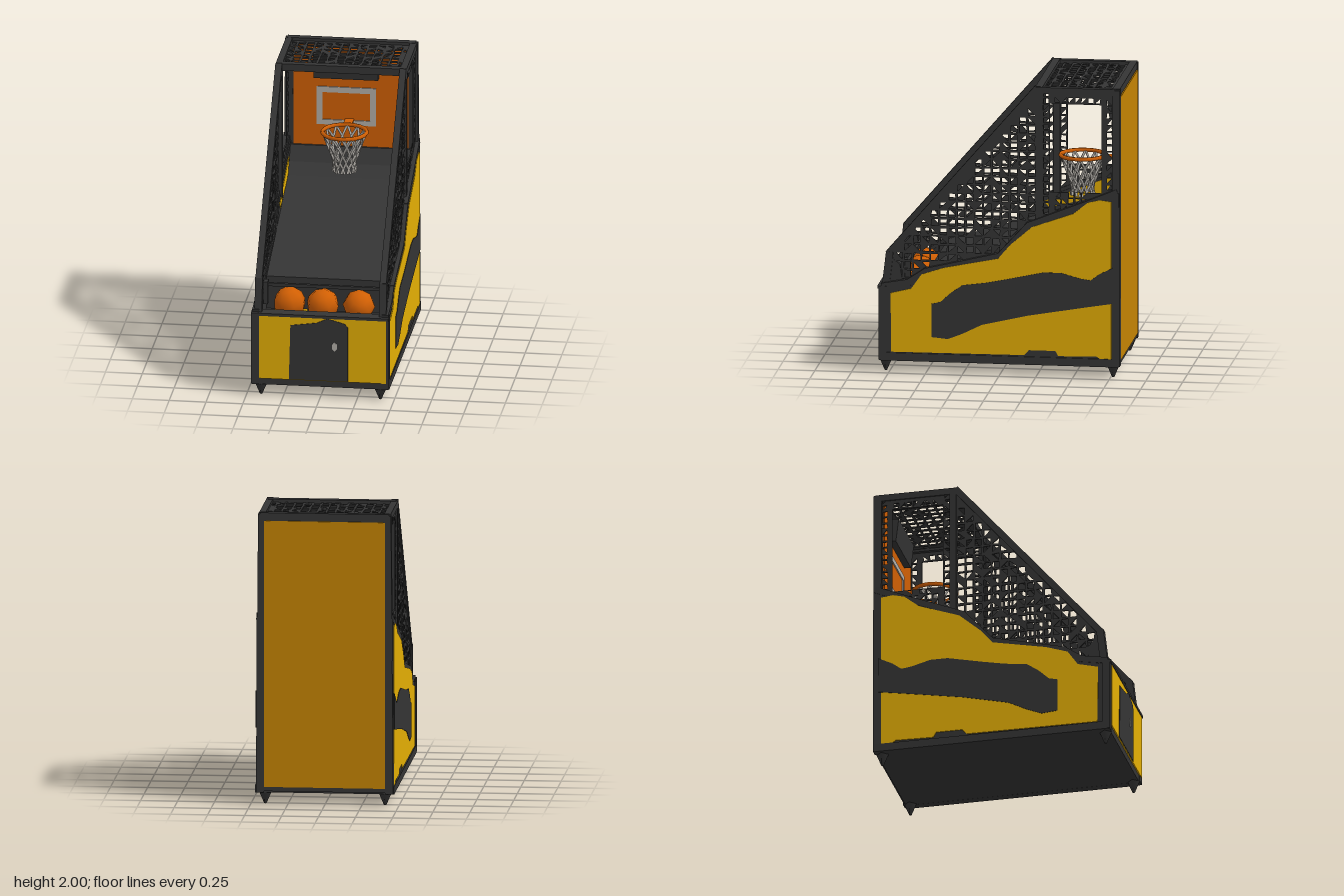
import * as THREE from 'three';

const mat = (name, color, side = THREE.FrontSide) => {
  const m = new THREE.MeshStandardMaterial({ color, side });
  m.name = name;
  return m;
};

export function createModel() {
  const root = new THREE.Group();
  root.name = 'basketballArcade';
  const dark = mat('charcoal', 0x353535);
  const mesh = mat('charcoalMesh', 0x353535, THREE.DoubleSide);
  const yellow = mat('yellow', 0xe6b004);
  const ochre = mat('ochre', 0xc68402);
  const orange = mat('orange', 0xd26004);
  const grey = mat('grey', 0xb4b0aa);

  let seed = 7;
  const rand = () => (seed = (seed * 16807) % 2147483647) / 2147483647;

  const add = (name, geo, material, parent = root) => {
    const m = new THREE.Mesh(geo, material);
    m.name = name;
    parent.add(m);
    return m;
  };
  // Box given by its min and max on each axis
  const box = (name, material, x0, x1, y0, y1, z0, z1) => {
    const m = add(name, new THREE.BoxGeometry(x1 - x0, y1 - y0, z1 - z0), material);
    m.position.set((x0 + x1) / 2, (y0 + y1) / 2, (z0 + z1) / 2);
    return m;
  };
  // Square bar between two points
  const bar = (name, a, b, w = 0.045) => {
    const p = new THREE.Vector3(...a), q = new THREE.Vector3(...b);
    const m = add(name, new THREE.BoxGeometry(w, w, p.distanceTo(q) + w * 0.6), dark);
    m.position.copy(p).add(q).multiplyScalar(0.5);
    m.lookAt(q);
    return m;
  };
  const shapeOf = (pts) => new THREE.Shape(pts.map((p) => new THREE.Vector2(...p)));
  const extrude = (shape, depth) => new THREE.ExtrudeGeometry(shape, { depth, bevelEnabled: false });
  // Extrude a (z, y) outline across x, centred on the given x
  const sidePlate = (name, shape, x, depth, material) =>
    add(name, extrude(shape, depth).rotateY(-Math.PI / 2).translate(x + depth / 2, 0, 0), material);
  const inside = (x, y, pts) => {
    let hit = false;
    pts.forEach(([ax, ay], i) => {
      const [bx, by] = pts[(i + 1) % pts.length];
      if (ay > y !== by > y && x < ((bx - ax) * (y - ay)) / (by - ay) + ax) hit = !hit;
    });
    return hit;
  };
  // Outline pierced by a ragged grid of three- and four-sided holes
  const netShape = (pts, pitch = 0.06) => {
    const shape = shapeOf(pts);
    const xs = pts.map((p) => p[0]), ys = pts.map((p) => p[1]);
    const low = () => 0.06 + rand() * 0.12, high = () => 0.82 + rand() * 0.12;
    for (let x = Math.min(...xs) + 0.005; x < Math.max(...xs); x += pitch)
      for (let y = Math.min(...ys) + 0.005; y < Math.max(...ys); y += pitch) {
        const at = (u, v) => [x + u * pitch, y + v * pitch];
        const hole = [at(low(), low()), at(high(), low()), at(high(), high()), at(low(), high())];
        if (!hole.every((c) => inside(c[0], c[1], pts))) continue;
        if (rand() < 0.55) hole.splice(Math.floor(rand() * 4), 1);
        shape.holes.push(new THREE.Path(hole.map((c) => new THREE.Vector2(...c))));
      }
    return shape;
  };

  // Side panels with painted faces, mirrored
  const panel = [[0.82, 0.08], [0.82, 0.59], [0.62, 0.62], [0.5, 0.7], [0, 0.82],
    [-0.2, 1.04], [-0.6, 1.2], [-0.81, 1.28], [-0.81, 0.08]];
  const paint = [[0.735, 0.14], [0.74, 0.545], [0.6, 0.58], [0.53, 0.68], [0.38, 0.73], [0.01, 0.805],
    [-0.07, 0.9], [-0.22, 1.03], [-0.5, 1.13], [-0.6, 1.21], [-0.68, 1.23], [-0.76, 1.22],
    [-0.76, 0.77], [-0.76, 0.13], [-0.69, 0.13], [-0.66, 0.15], [-0.4, 0.145], [-0.38, 0.18],
    [-0.2, 0.18], [-0.17, 0.145]];
  const wave = [[0.46, 0.25], [0.46, 0.48], [0.4, 0.495], [0.33, 0.56], [0.25, 0.615], [0.1, 0.635],
    [-0.05, 0.665], [-0.3, 0.72], [-0.42, 0.72], [-0.55, 0.685], [-0.62, 0.675], [-0.68, 0.72],
    [-0.78, 0.77], [-0.78, 0.52], [-0.6, 0.49], [-0.2, 0.42], [0.12, 0.345], [0.25, 0.28],
    [0.35, 0.24]];
  const innerPaint = [[-0.18, 1.01], [-0.45, 1.12], [-0.6, 1.18], [-0.66, 1.18], [-0.6, 1.08],
    [-0.5, 1.04], [-0.22, 0.97]];
  // Side netting outlines
  const slopeNet = [[0.76, 0.81], [0.74, 0.64], [0.62, 0.64], [0.5, 0.7], [0, 0.82], [-0.2, 1.04],
    [-0.25, 1.06], [-0.25, 1.96]];
  const strips = [
    [[-0.27, 1.06], [-0.34, 1.09], [-0.34, 1.96], [-0.27, 1.96]],
    [[-0.34, 1.88], [-0.69, 1.88], [-0.69, 1.96], [-0.34, 1.96]],
    [[-0.69, 1.24], [-0.77, 1.26], [-0.77, 1.96], [-0.69, 1.96]],
    [[-0.34, 1.09], [-0.69, 1.23], [-0.69, 1.27], [-0.34, 1.27]],
  ];
  for (const s of [-1, 1]) {
    sidePlate('sidePanel', shapeOf(panel), s * 0.435, 0.05, dark);
    sidePlate('sidePaint', shapeOf(paint), s * 0.463, 0.006, yellow);
    sidePlate('sideWave', shapeOf(wave), s * 0.466, 0.006, dark);
    sidePlate('innerPaint', shapeOf(innerPaint), s * 0.409, 0.006, yellow);
    sidePlate('sideNetting', netShape(slopeNet), s * 0.43, 0.01, mesh);
    for (const st of strips) sidePlate('windowNetting', netShape(st, 0.045), s * 0.43, 0.01, mesh);

    // Cage frame
    const x = s * 0.422;
    bar('slopeBar', [x, 0.82, 0.75], [x, 1.975, -0.245]);
    bar('frontPost', [x, 0.6, 0.775], [x, 0.81, 0.75], 0.05);
    sidePlate('frontGusset', shapeOf([[0.78, 0.59], [0.76, 0.8], [0.68, 0.74], [0.66, 0.6]]), x, 0.03, dark);
    bar('cagePost', [x, 1.04, -0.27], [x, 1.97, -0.27]);
    bar('roofSideBar', [x, 1.97, -0.25], [x, 1.97, -0.79]);
    bar('backPost', [s * 0.437, 0.1, -0.79], [s * 0.422, 1.97, -0.79], 0.055);
    bar('frontCorner', [s * 0.442, 0.1, 0.795], [s * 0.442, 0.575, 0.795], 0.055);
    bar('bottomRail', [s * 0.442, 0.107, 0.79], [s * 0.442, 0.107, -0.79], 0.055);
    // Raised rim along the panel's top edge
    for (let i = 1; i < 7; i++) {
      const [a, b] = [panel[i], panel[i + 1]];
      bar('panelRim', [s * 0.44, a[1], Math.min(a[0], 0.79)], [s * 0.44, b[1], Math.max(b[0], -0.79)], 0.045);
    }
    // Feet
    for (const z of [0.78, -0.765]) {
      const foot = add('foot', new THREE.CylinderGeometry(0.042, 0.008, 0.08, 4), dark);
      foot.position.set(s * 0.405, 0.04, z);
    }
  }

  // Roof
  const roof = netShape([[-0.42, 0.26], [0.42, 0.26], [0.42, 0.78], [-0.42, 0.78]]);
  add('roofNetting', extrude(roof, 0.01).rotateX(-Math.PI / 2).translate(0, 1.965, 0), mesh);
  for (const z of [-0.265, -0.79]) bar('roofCrossBar', [-0.42, 1.97, z], [0.42, 1.97, z], 0.05);

  // Cabinet floor and back
  box('cabinetFloor', dark, -0.44, 0.44, 0.08, 0.12, -0.8, 0.8);
  box('backWall', dark, -0.42, 0.42, 0.09, 1.97, -0.812, -0.765);
  box('backPaint', ochre, -0.41, 0.41, 0.12, 1.94, -0.82, -0.811);

  // Cabinet front with door
  box('cabinetFront', dark, -0.44, 0.44, 0.08, 0.59, 0.74, 0.815);
  box('frontLip', dark, -0.465, 0.465, 0.573, 0.592, 0.74, 0.83);
  box('frontPaint', yellow, -0.415, 0.45, 0.125, 0.573, 0.816, 0.825);
  const door = shapeOf([[-0.21, 0.13], [0.19, 0.13], [0.19, 0.515], [0.17, 0.54], [0.05, 0.573],
    [-0.02, 0.54], [-0.2, 0.515]]);
  add('door', extrude(door, 0.008), dark).position.z = 0.821;
  const latch = add('doorLatch', new THREE.CylinderGeometry(0.024, 0.024, 0.008, 6), grey);
  latch.rotation.x = Math.PI / 2;
  latch.scale.set(0.85, 1, 1.35);
  latch.position.set(0.1, 0.375, 0.829);

  // Ball tray and ramp
  box('ballTray', dark, -0.42, 0.42, 0.46, 0.5, 0.45, 0.75);
  box('trayPaint', yellow, -0.35, -0.13, 0.5, 0.507, 0.475, 0.62);
  const ramp = [[0.47, 0.48], [0.47, 0.73], [0.4, 0.75], [-0.45, 1.01], [-0.6, 1.07], [-0.68, 1.14],
    [-0.74, 1.24], [-0.78, 1.24], [-0.78, 0.9], [0.3, 0.48]];
  sidePlate('ramp', shapeOf(ramp), 0, 0.82, dark);
  bar('ballRail', [-0.4, 0.735, 0.64], [0.42, 0.735, 0.64], 0.022);
  for (const x of [-0.39, 0.41]) box('railBracket', dark, x - 0.015, x + 0.015, 0.6, 0.76, 0.61, 0.67);

  // Balls
  [-0.235, -0.01, 0.235].forEach((x, i) => {
    const ball = add('ball', new THREE.SphereGeometry(0.11, 8, 6), orange);
    ball.position.set(x, 0.595, 0.6);
    ball.rotation.set(0.3 * i, 0.4 + i, 0.2);
  });

  // Backboard, scoreboard and target frame
  box('backboard', orange, -0.39, 0.39, 1.22, 1.95, -0.766, -0.757);
  box('scoreboard', dark, -0.25, 0.19, 1.735, 1.9, -0.76, -0.7).rotation.x = 0.12;
  const target = shapeOf([[-0.235, 1.39], [0.17, 1.39], [0.17, 1.66], [-0.235, 1.66]]);
  target.holes.push(new THREE.Path([[-0.195, 1.425], [0.13, 1.425], [0.13, 1.62], [-0.195, 1.62]]
    .map((p) => new THREE.Vector2(...p))));
  add('targetFrame', extrude(target, 0.008), grey).position.z = -0.757;

  // Hoop and net
  const hoop = new THREE.Group();
  hoop.name = 'hoop';
  hoop.position.set(-0.01, 1.432, -0.5);
  root.add(hoop);
  add('rim', new THREE.TorusGeometry(0.15, 0.014, 6, 20), orange, hoop).rotation.x = Math.PI / 2;
  box('hoopBracket', orange, -0.04, 0.02, 1.424, 1.436, -0.757, -0.645);
  const profile = [[0.148, 0], [0.118, -0.08], [0.09, -0.16], [0.073, -0.22], [0.08, -0.275]];
  const strands = 12;
  for (let i = 0; i < strands; i++)
    for (const dir of [-1, 1]) {
      const path = new THREE.CatmullRomCurve3(profile.map(([r, y], k) => {
        const a = (i / strands) * Math.PI * 2 + dir * k * 0.3;
        return new THREE.Vector3(r * Math.cos(a), y, r * Math.sin(a));
      }));
      add('netStrand', new THREE.TubeGeometry(path, 10, 0.0085, 5), grey, hoop);
    }
  return root;
}
